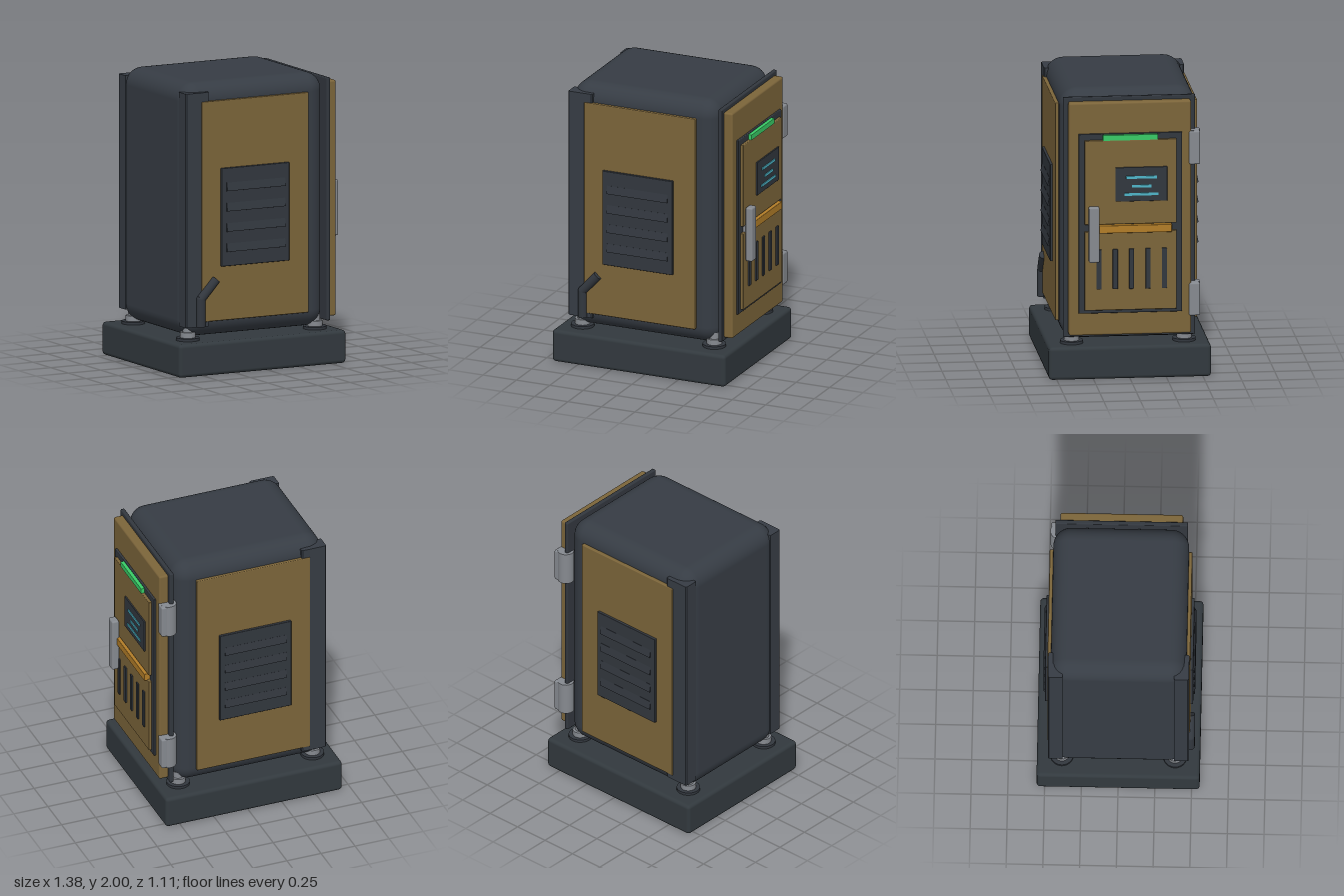
import * as THREE from 'three';
import { RoundedBoxGeometry } from 'three/addons/geometries/RoundedBoxGeometry.js';

const mat = (name, color) => {
  const m = new THREE.MeshStandardMaterial({ color });
  m.name = name;
  return m;
};

export function createModel() {
  const root = new THREE.Group();
  root.name = 'cabinet';
  const shell = mat('charcoal shell', 0x363c44);
  const plinth = mat('plinth grey', 0x32393e);
  const trim = mat('dark trim', 0x32373e);
  const tan = mat('tan panel', 0x7c653a);
  const steel = mat('steel', 0x868a90);
  const green = mat('green light', 0x38cc66);
  const cyan = mat('cyan display', 0x4fb6ca);
  const orange = mat('orange bar', 0xb27d28);

  const add = (name, geometry, material, parent = root) => {
    const m = new THREE.Mesh(geometry, material);
    m.name = name;
    parent.add(m);
    return m;
  };
  // Box given by its limits on each axis, with an optional rounded edge
  const box = (name, [x0, x1], [y0, y1], [z0, z1], material, r = 0, parent = root, seg = 2) => {
    const s = [x1 - x0, y1 - y0, z1 - z0];
    const g = r ? new RoundedBoxGeometry(...s, seg, r) : new THREE.BoxGeometry(...s);
    const m = add(name, g, material, parent);
    m.position.set((x0 + x1) / 2, (y0 + y1) / 2, (z0 + z1) / 2);
    return m;
  };
  const cylinder = (name, r, h, x, y, z, material, parent = root) => {
    const m = add(name, new THREE.CylinderGeometry(r, r, h, 24), material, parent);
    m.position.set(x, y, z);
    return m;
  };

  // Plinth and main body
  box('plinth', [-0.69, 0.605], [0, 0.228], [-0.555, 0.555], plinth, 0.025);
  box('body', [-0.6, 0.5], [0.25, 2], [-0.462, 0.462], shell, 0.12, root, 5);

  // Levelling feet
  for (const x of [-0.535, 0.45]) for (const z of [-0.385, 0.385]) {
    cylinder('footPad', 0.08, 0.02, x, 0.237, z, trim);
    cylinder('footCollar', 0.052, 0.04, x, 0.265, z, steel);
    cylinder('footStem', 0.035, 0.08, x, 0.29, z, steel);
  }

  // Both sides: corner guard, panel, vent plate and louvres
  for (const s of [1, -1]) {
    const side = new THREE.Group();
    side.name = s > 0 ? 'frontSide' : 'rearSide';
    root.add(side);
    const guard = new THREE.Shape([
      [-0.6, 0.38], [-0.6, 0.472], [-0.593, 0.48], [-0.428, 0.48], [-0.42, 0.472],
      [-0.42, 0.45], [-0.5, 0.445], [-0.57, 0.38],
    ].map(([x, z]) => new THREE.Vector2(x, -s * z)));
    const g = add('cornerGuard', new THREE.ExtrudeGeometry(guard, { depth: 1.615, bevelEnabled: false }), shell, side);
    g.rotation.x = -Math.PI / 2;
    g.position.y = 0.328;

    const zr = (a, b) => (s > 0 ? [a, b] : [-b, -a]);
    box('sidePanel', [-0.48, 0.35], [0.36, 1.88], zr(0.445, 0.486), tan, 0.006, side);
    box('ventPlate', [-0.335, 0.19], [0.735, 1.413], zr(0.47, 0.504), trim, 0.005, side);
    for (let i = 0; i < 4; i++) {
      const louvre = box('louvre', [-0.298, 0.155], [0, 0.058], zr(0.495, 0.511), trim, 0, side);
      louvre.position.y = 0.862 + i * 0.14;
      louvre.rotation.x = -s * 0.2;
    }
  }

  // Bent cable conduit on the front side
  const conduit = new THREE.Group();
  conduit.name = 'conduit';
  root.add(conduit);
  const pipe = (a, b) => {
    const d = new THREE.Vector3().subVectors(b, a);
    const m = cylinder('conduitPipe', 0.031, d.length(), 0, 0, 0, trim, conduit);
    m.position.addVectors(a, b).multiplyScalar(0.5);
    m.quaternion.setFromUnitVectors(new THREE.Vector3(0, 1, 0), d.normalize());
  };
  const bend = new THREE.Vector3(-0.49, 0.52, 0.487);
  pipe(new THREE.Vector3(-0.49, 0.33, 0.487), bend);
  pipe(bend, new THREE.Vector3(-0.373, 0.647, 0.487));
  add('conduitElbow', new THREE.SphereGeometry(0.031, 16, 12), trim, conduit).position.copy(bend);

  // Door leaf with its seal, inner frame and two raised panels
  const door = new THREE.Group();
  door.name = 'door';
  root.add(door);
  box('doorSeal', [0.507, 0.536], [0.285, 1.962], [-0.452, 0.452], trim, 0.008, door);
  box('doorLeaf', [0.53, 0.6], [0.308, 1.935], [-0.418, 0.418], tan, 0.014, door);
  box('doorFrame', [0.59, 0.615], [0.465, 1.72], [-0.354, 0.354], trim, 0.005, door);
  box('upperPanel', [0.605, 0.635], [1.09, 1.678], [-0.315, 0.315], tan, 0.005, door);
  box('lowerPanel', [0.605, 0.635], [0.49, 1.04], [-0.315, 0.315], tan, 0.005, door);
  box('statusLight', [0.61, 0.64], [1.677, 1.714], [-0.185, 0.19], green, 0, door);
  box('orangeBar', [0.61, 0.655], [1.032, 1.086], [-0.28, 0.23], orange, 0.004, door);

  // Display screen with lit lines
  box('screen', [0.63, 0.645], [1.25, 1.488], [-0.25, 0.105], trim, 0.003, door);
  for (const [y, z0, z1] of [[1.418, -0.178, 0.032], [1.356, -0.142, -0.008], [1.3, -0.188, 0.045]])
    box('screenLine', [0.644, 0.651], [y - 0.009, y + 0.009], [z0, z1], cyan, 0, door);

  // Air slots
  for (let i = 0; i < 5; i++) {
    const z = 0.218 - i * 0.112;
    box('airSlot', [0.63, 0.645], [0.638, 0.918], [z - 0.017, z + 0.017], trim, 0.003, door);
  }

  // Handle and hinges
  box('handleMount', [0.61, 0.65], [1.04, 1.085], [0.23, 0.28], steel, 0, door);
  box('handle', [0.637, 0.689], [0.835, 1.222], [0.218, 0.29], steel, 0.012, door);
  for (const [y0, y1] of [[0.43, 0.66], [1.487, 1.722]]) {
    cylinder('hingeBarrel', 0.056, y1 - y0, 0.541, (y0 + y1) / 2, -0.43, steel, door);
    box('hingeLeaf', [0.56, 0.606], [y0, y1], [-0.48, -0.402], steel, 0.012, door);
  }
  return root;
}
